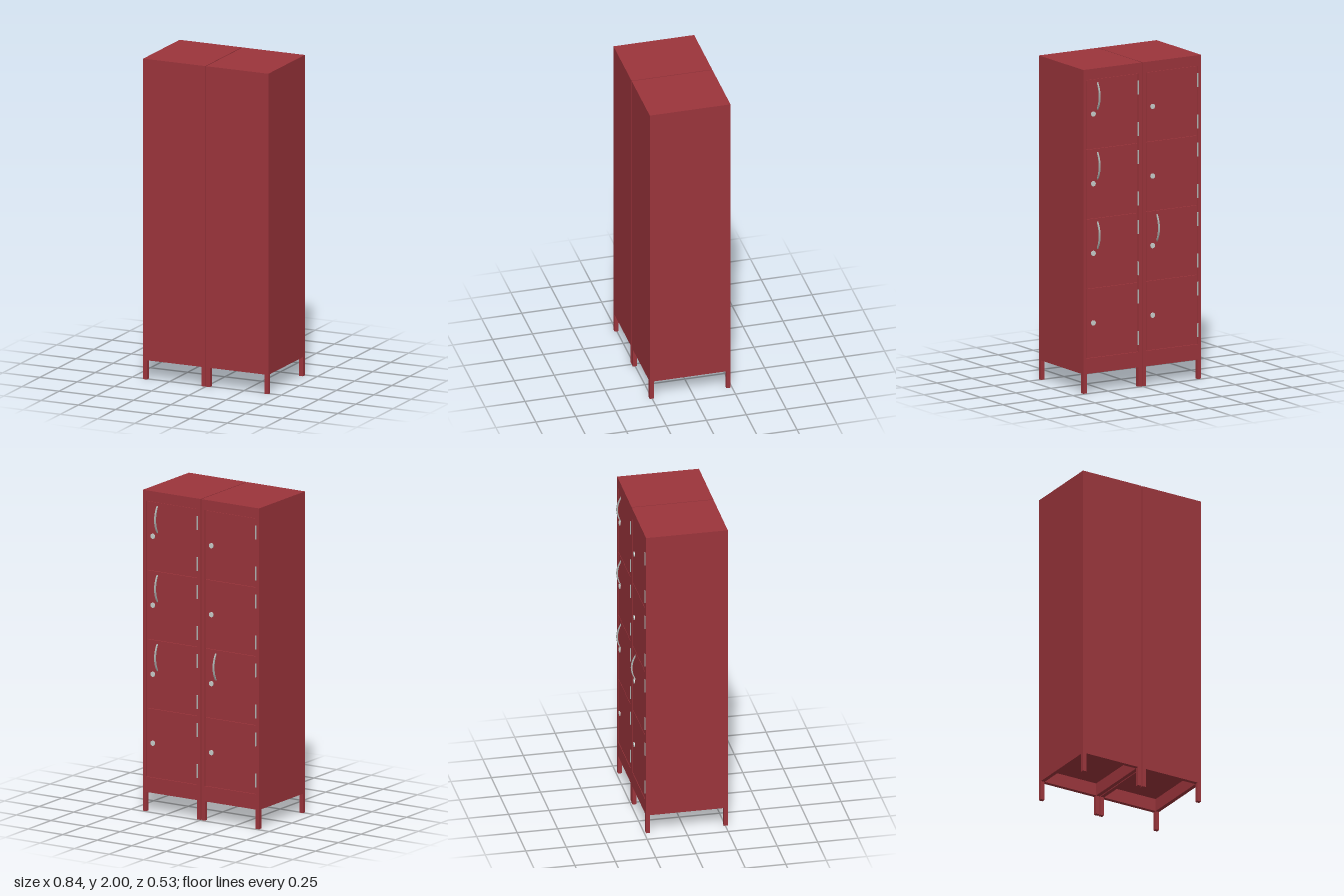
import * as THREE from 'three';

const W = 0.417, BACK = 0.265, FACE = -0.24, DEPTH = BACK - FACE;
const red = new THREE.MeshStandardMaterial({ color: 0x9b343b });
red.name = 'red paint';
const steel = new THREE.MeshStandardMaterial({ color: 0xadb2b0 });
steel.name = 'steel';
const chrome = new THREE.MeshStandardMaterial({ color: 0xc8cecb });
chrome.name = 'bright lock metal';

function add(parent, name, geometry, material, x, y, z) {
  const mesh = new THREE.Mesh(geometry, material);
  mesh.name = name;
  mesh.position.set(x, y, z);
  parent.add(mesh);
  return mesh;
}

const box = (w, h, d) => new THREE.BoxGeometry(w, h, d);

// Rectangle with a rectangular hole, extruded along z
function ring(w, h, hole, depth) {
  const s = new THREE.Shape([[-w, -h], [w, -h], [w, h], [-w, h]].map(([x, y]) => new THREE.Vector2(x / 2, y / 2)));
  const [x0, y0, x1, y1] = hole;
  s.holes.push(new THREE.Path([[x0, y0], [x0, y1], [x1, y1], [x1, y0]].map(([x, y]) => new THREE.Vector2(x, y))));
  return new THREE.ExtrudeGeometry(s, { depth, bevelEnabled: false });
}

// Horizontal ring lying around the cabinet footprint
function hoop(height, t) {
  const g = ring(W, DEPTH, [-W / 2 + t, -DEPTH / 2 + t, W / 2 - t, DEPTH / 2 - t], height);
  return g.rotateX(-Math.PI / 2);
}

// Bowed pull handle: a crescent in the y-z plane, bulging towards -z
function handleGeometry() {
  const s = new THREE.Shape();
  s.moveTo(0, -0.085);
  s.quadraticCurveTo(0.056, 0, 0, 0.085);
  s.lineTo(0, 0.075);
  s.quadraticCurveTo(0.038, 0, 0, -0.075);
  const g = new THREE.ExtrudeGeometry(s, { depth: 0.009, bevelEnabled: false, curveSegments: 16 });
  return g.translate(0, 0, -0.0045).rotateY(Math.PI / 2);
}

function cabinet(name, cx, handles) {
  const g = new THREE.Group();
  g.name = name;
  g.position.x = cx;
  const cz = (BACK + FACE) / 2, lip = 0.012;

  // Carcass, bottom skirt and base rails
  add(g, 'carcass', box(W, 1.8, DEPTH - lip), red, 0, 1.1, cz + lip / 2);
  add(g, 'skirt', hoop(0.05, 0.025), red, 0, 0.15, cz);
  add(g, 'baseRails', hoop(0.03, 0.025), red, 0, 0.12, cz);
  for (const x of [-1, 1]) for (const z of [-1, 1])
    add(g, 'leg', box(0.025, 0.12, 0.025), red, x * (W / 2 - 0.0125), 0.06, cz + z * (DEPTH / 2 - 0.0125));

  // Door surround
  const left = -0.184, right = 0.185, low = 0.215, high = 1.935;
  add(g, 'doorFrame', ring(W, 1.8, [left, low - 1.1, right, high - 1.1], lip), red, 0, 1.1, FACE);

  // Four doors with locks, hinges and some pull handles
  const pitch = (high - low) / 4;
  for (let i = 0; i < 4; i++) {
    const y = high - pitch * (i + 0.5);
    add(g, 'door', box(right - left - 0.008, pitch - 0.004, 0.009), red, (left + right) / 2, y, FACE + 0.0065);
    const lock = add(g, 'lock', new THREE.CylinderGeometry(0.016, 0.016, 0.006, 20), chrome, 0.137, y, FACE);
    lock.rotation.x = Math.PI / 2;
    for (const s of [-1, 1])
      add(g, 'hinge', new THREE.CylinderGeometry(0.005, 0.005, 0.085, 10), steel, left, y + s * 0.128, FACE);
    if (handles.includes(i)) add(g, 'handle', handleGeometry(), steel, 0.106, y + 0.108, FACE + 0.001);
  }
  return g;
}

export function createModel() {
  const model = new THREE.Group();
  model.name = 'lockers';
  model.add(cabinet('leftLocker', 0.2115, [0, 1, 2]));
  model.add(cabinet('rightLocker', -0.2115, [2]));
  return model;
}
